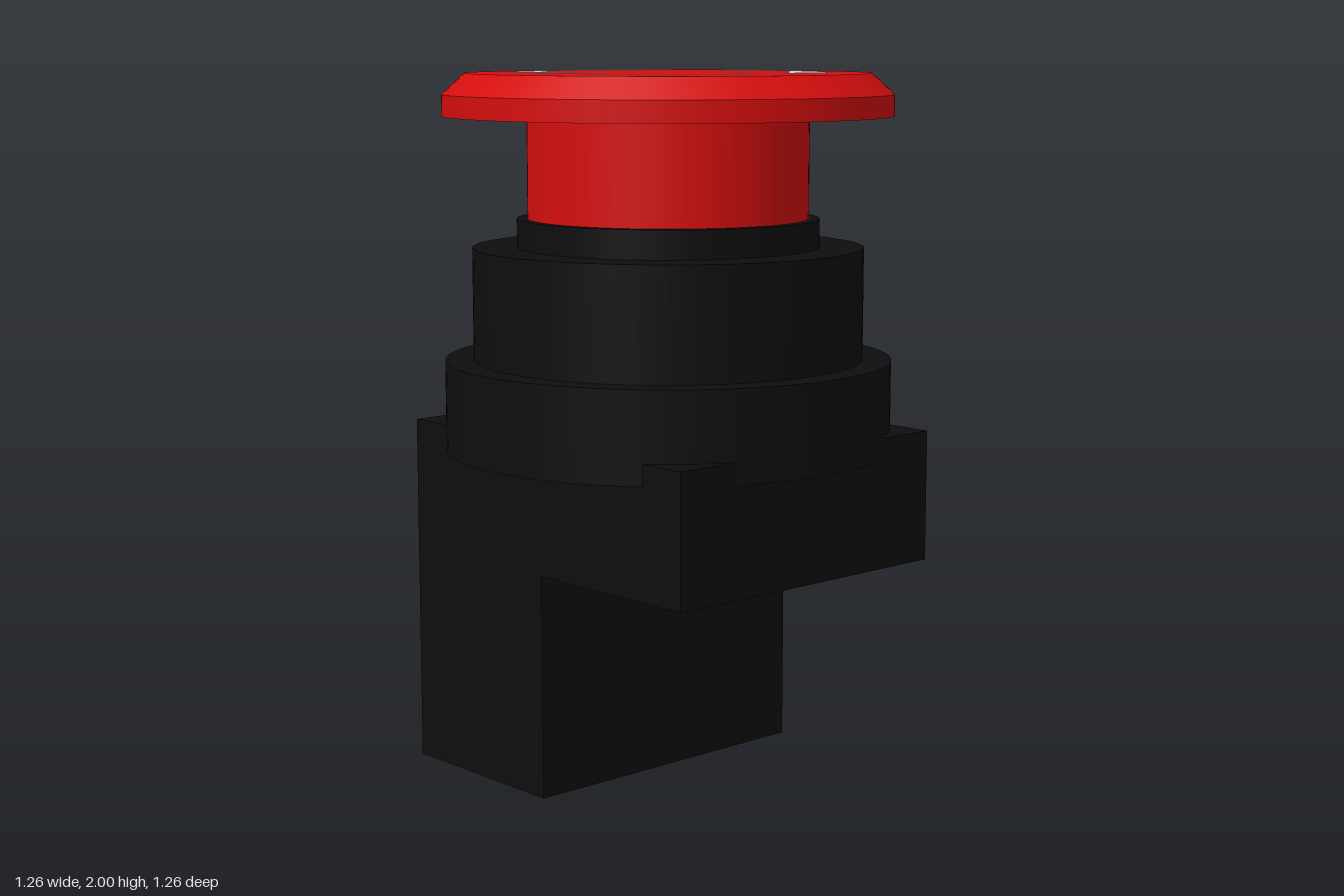
import * as THREE from 'three';

const red = new THREE.MeshStandardMaterial({ name: 'button red', color: 0xd40e0e });
const black = new THREE.MeshStandardMaterial({ name: 'housing black', color: 0x0e0e0e });
const grey = new THREE.MeshStandardMaterial({ name: 'arrow grey', color: 0xd0d0d0 });

const TOP = 1.998; // top face of the button

// Upright round section between two heights
function disc(name, rTop, rBottom, y0, y1, material, open = false) {
  const geometry = new THREE.CylinderGeometry(rTop, rBottom, y1 - y0, 96, 1, open);
  const mesh = new THREE.Mesh(geometry, material);
  mesh.name = name;
  mesh.position.y = (y0 + y1) / 2;
  return mesh;
}

// Curved arrow: an arc band ending in a pointed head
function arrowShape() {
  const rad = THREE.MathUtils.degToRad;
  const polar = (r, deg) => [r * Math.cos(rad(deg)), r * Math.sin(rad(deg))];
  const shape = new THREE.Shape();
  shape.moveTo(...polar(0.35, 116));
  shape.lineTo(...polar(0.441, 115.4));
  shape.absarc(0, 0, 0.441, rad(115.4), rad(34.5), true);
  shape.lineTo(...polar(0.484, 32));
  shape.lineTo(...polar(0.396, 12.4));
  shape.lineTo(...polar(0.31, 37.8));
  shape.lineTo(...polar(0.345, 39.5));
  shape.absarc(0, 0, 0.342, rad(39.5), rad(116), false);
  return shape;
}

export function createModel() {
  const model = new THREE.Group();
  model.name = 'emergencyStopButton';

  // Contact block: L-shaped in the front view
  const outline = new THREE.Shape([
    [-0.565, 0], [0, 0], [0, 0.635], [0.565, 0.635], [0.565, 1.005], [-0.565, 1.005],
  ].map(([x, y]) => new THREE.Vector2(x, y)));
  const blockGeometry = new THREE.ExtrudeGeometry(outline, { depth: 0.94, bevelEnabled: false });
  blockGeometry.translate(0, 0, -0.47);
  const block = new THREE.Mesh(blockGeometry, black);
  block.name = 'contactBlock';
  model.add(block);

  // Stepped housing
  model.add(
    disc('mountingRing', 0.63, 0.63, 0.945, 1.2, black),
    disc('housing', 0.55, 0.55, 1.2, 1.515, black),
    disc('collar', 0.425, 0.425, 1.515, 1.595, black),
  );

  // Mushroom button
  model.add(
    disc('buttonStem', 0.395, 0.395, 1.59, 1.88, red),
    disc('buttonRim', 0.63, 0.63, 1.88, 1.94, red),
    disc('buttonCap', 0.567, 0.63, 1.94, TOP, red),
  );

  // Three turn-to-release arrows
  const arrowGeometry = new THREE.ShapeGeometry(arrowShape(), 24);
  arrowGeometry.rotateX(-Math.PI / 2);
  for (let i = 0; i < 3; i++) {
    const arrow = new THREE.Mesh(arrowGeometry, grey);
    arrow.name = 'turnArrow' + (i + 1);
    arrow.position.y = TOP + 0.002;
    arrow.rotation.y = (-i * 2 * Math.PI) / 3;
    model.add(arrow);
  }

  return model;
}
